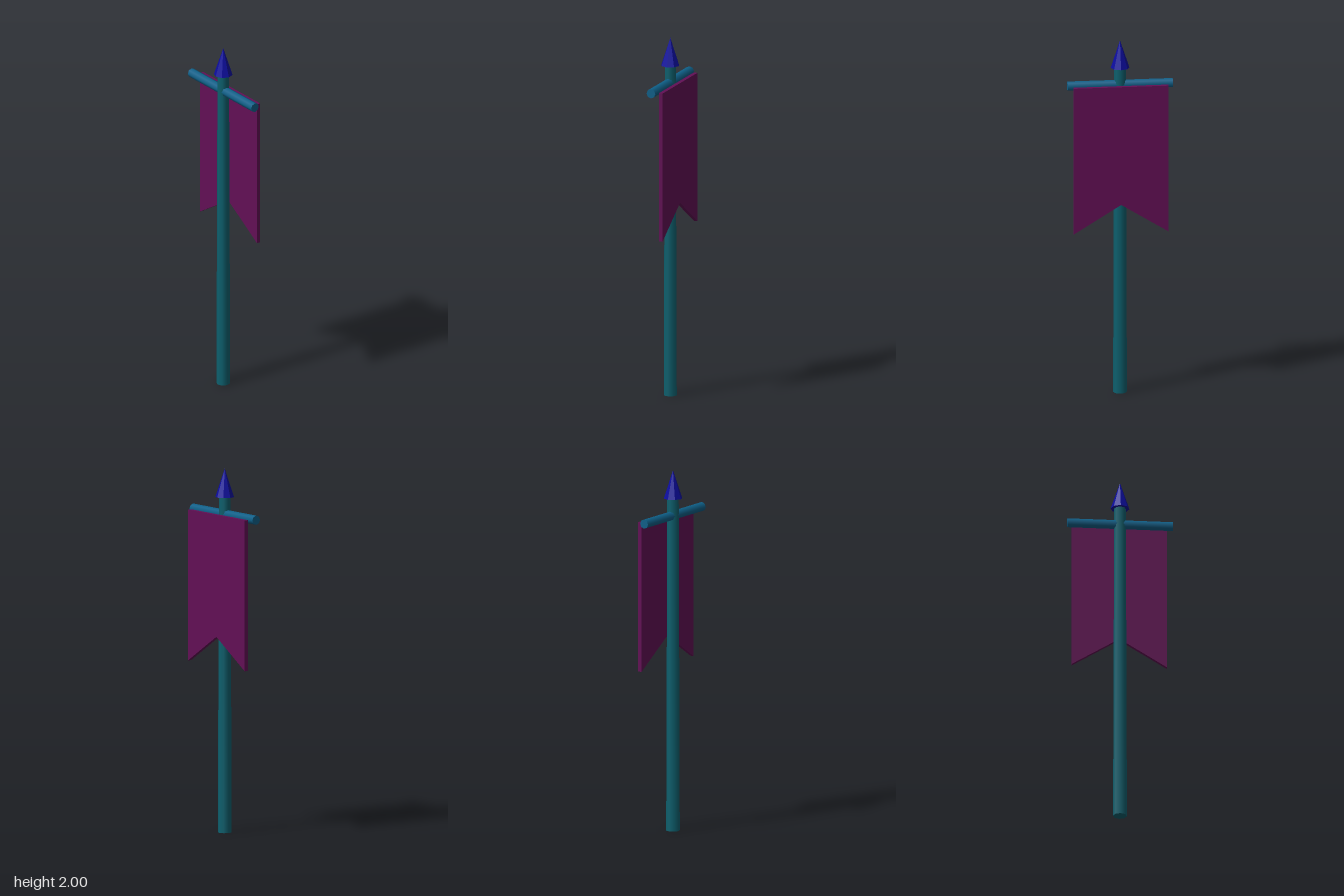
import * as THREE from 'three';

const CENTER_X = -0.003;

function material(name, color, flatShading = false) {
  const m = new THREE.MeshStandardMaterial({ color, flatShading });
  m.name = name;
  return m;
}

export function createModel() {
  const group = new THREE.Group();
  group.name = 'bannerOnPole';

  const teal = material('teal', 0x0d606e);
  const blue = material('blue', 0x0e6089);
  const navy = material('navy', 0x0c0c9c, true);
  const plum = material('plum', 0x620f55);

  function add(name, geometry, mat, x, y) {
    const mesh = new THREE.Mesh(geometry, mat);
    mesh.name = name;
    mesh.position.set(x, y, 0);
    group.add(mesh);
  }

  // Slightly tapered upright pole
  add('pole', new THREE.CylinderGeometry(0.032, 0.038, 1.845, 8), teal, CENTER_X, 0.9225);

  // Horizontal rod running front to back
  const rod = new THREE.CylinderGeometry(0.0257, 0.0257, 0.577, 8).rotateX(Math.PI / 2);
  add('crossRod', rod, blue, CENTER_X, 1.75);

  // Pointed finial
  add('finial', new THREE.ConeGeometry(0.0515, 0.155, 8), navy, CENTER_X, 1.9225);

  // Swallow-tailed cloth hanging on the left side of the pole
  const cloth = new THREE.Shape([
    [-0.26, 1.75], [-0.26, 0.92], [0, 1.08], [0.26, 0.92], [0.26, 1.75],
  ].map(([z, y]) => new THREE.Vector2(z, y)));
  const banner = new THREE.ExtrudeGeometry(cloth, { depth: 0.022, bevelEnabled: false })
    .rotateY(Math.PI / 2);
  add('banner', banner, plum, 0.032, 0);

  return group;
}
